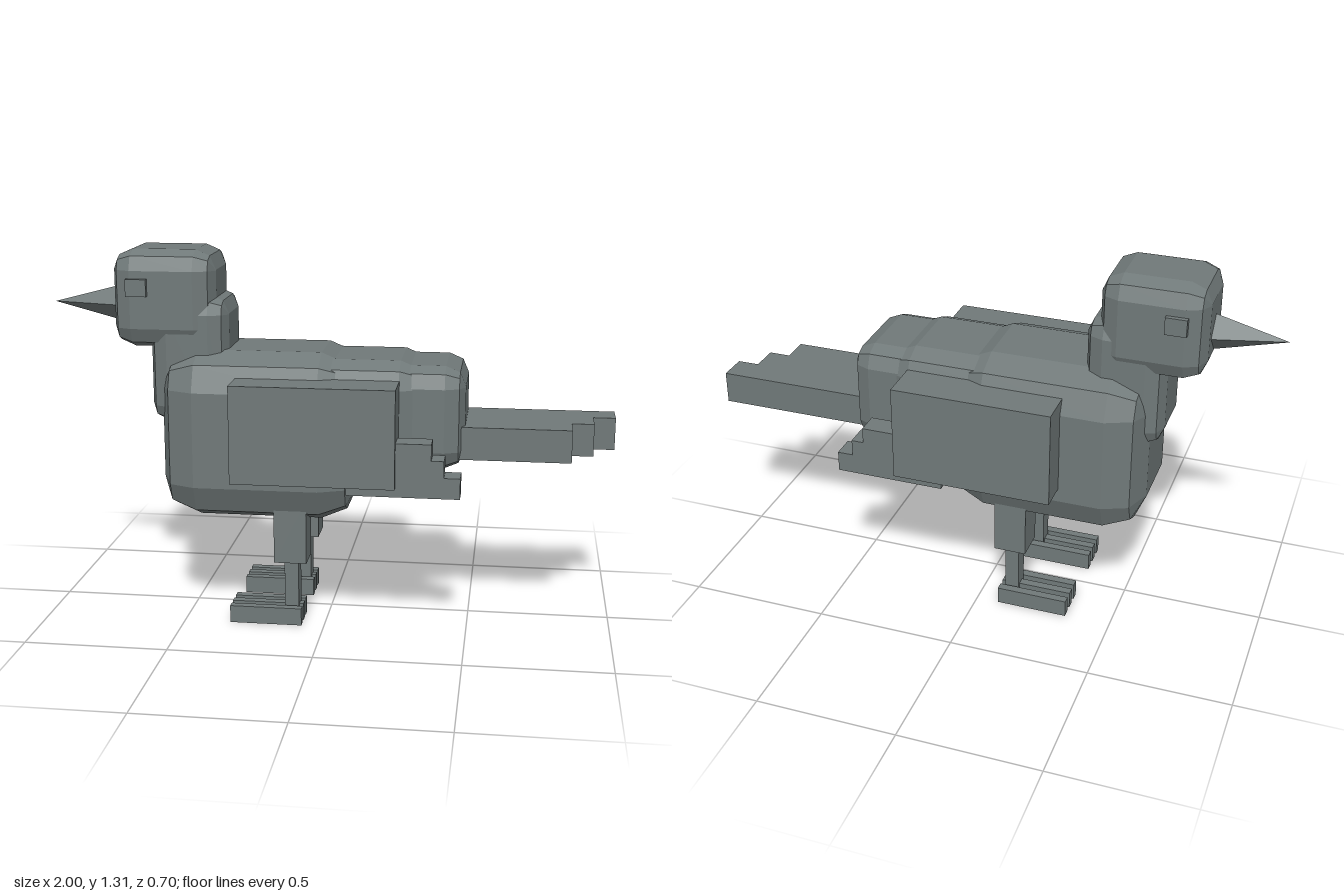
import * as THREE from 'three';

export function createModel() {
  const model = new THREE.Group();
  model.name = 'bird';
  const grey = new THREE.MeshStandardMaterial({ color: 0x707979, flatShading: true });
  grey.name = 'slate grey';

  const add = (name, geometry, parent = model) => {
    const mesh = new THREE.Mesh(geometry, grey);
    mesh.name = name;
    parent.add(mesh);
    return mesh;
  };

  // Plain box from its limits
  const box = (name, x0, x1, y0, y1, z0, z1, parent) => {
    const g = new THREE.BoxGeometry(x1 - x0, y1 - y0, Math.abs(z1 - z0));
    g.translate((x0 + x1) / 2, (y0 + y1) / 2, (z0 + z1) / 2);
    return add(name, g, parent);
  };

  // Twelve-sided cross-section with two-facet corners
  const ring = (x, y0, y1, w, b) => {
    const k = 0.3 * b, pts = [];
    const corner = [[0, b], [k, k], [b, 0]];
    const quads = [[1, 1], [-1, 1], [-1, -1], [1, -1]];
    quads.forEach(([sz, sy]) => {
      const c = sz * sy > 0 ? corner : [...corner].reverse();
      c.forEach(([dz, dy]) => pts.push([x, sy > 0 ? y1 - dy : y0 + dy, sz * (w - dz)]));
    });
    return pts;
  };

  // Block with two-facet bevels on every edge, lofted along x
  const bevelBlock = (name, x0, x1, y0, y1, w, b) => {
    const steps = [[0, 1, 0.05], [0.3, 0.3, 0.7], [1, 0, 1]];
    const make = (x, inset, bevel) => ring(x, y0 + inset * b, y1 - inset * b, w - inset * b, bevel * b);
    const rings = [
      ...steps.map(([d, i, v]) => make(x0 + d * b, i, v)),
      ...[...steps].reverse().map(([d, i, v]) => make(x1 - d * b, i, v)),
    ];
    const n = 12, last = rings.length - 1, index = [];
    const positions = rings.flat(2);
    positions.push(x0, (y0 + y1) / 2, 0, x1, (y0 + y1) / 2, 0);
    const startCentre = rings.length * n, endCentre = startCentre + 1;
    for (let j = 0; j < n; j++) {
      const k = (j + 1) % n;
      for (let i = 0; i < last; i++) {
        const a = i * n + j, d = i * n + k;
        index.push(a, a + n, d, d, a + n, d + n);
      }
      index.push(startCentre, j, k, endCentre, last * n + k, last * n + j);
    }
    const g = new THREE.BufferGeometry();
    g.setAttribute('position', new THREE.Float32BufferAttribute(positions, 3));
    g.setIndex(index);
    const flat = g.toNonIndexed();
    flat.computeVertexNormals();
    return add(name, flat);
  };

  // Body masses, stepping down towards the tail
  bevelBlock('breast', -0.585, 0.11, 0.37, 0.967, 0.245, 0.13);
  bevelBlock('back', -0.3, 0.345, 0.475, 0.947, 0.212, 0.09);
  bevelBlock('rump', -0.05, 0.48, 0.57, 0.932, 0.192, 0.07);
  bevelBlock('neck', -0.627, -0.35, 0.7, 1.155, 0.15, 0.065);
  bevelBlock('head', -0.755, -0.393, 0.97, 1.312, 0.157, 0.07);

  // Beak: four-sided spike pointing along -x
  const beak = new THREE.ConeGeometry(0.068, 0.26, 4);
  beak.rotateZ(Math.PI / 2);
  beak.translate(-0.87, 1.108, 0);
  add('beak', beak);

  // Tail feathers, stepped in length
  [[-0.155, -0.052, 1], [-0.052, 0.05, 0.922], [0.05, 0.152, 0.845]].forEach(([z0, z1, x1]) =>
    box('tailFeather', 0.4, x1, 0.61, 0.725, z0, z1));

  // Paired parts
  for (const s of [1, -1]) {
    const side = s > 0 ? 'left' : 'right';
    box(side + 'Eye', -0.695, -0.622, 1.155, 1.215, s * 0.14, s * 0.174);

    const wing = new THREE.Group();
    wing.name = side + 'Wing';
    model.add(wing);
    box('wingPanel', -0.305, 0.257, 0.55, 0.89, s * 0.2, s * 0.352, wing);
    [[0.475, 0.52, 0.592], [0.42, 0.592, 0.65], [0.377, 0.65, 0.706]].forEach(([x1, y0, y1]) =>
      box('wingFeather', 0.09, x1, y0, y1, s * 0.25, s * 0.332, wing));

    const leg = new THREE.Group();
    leg.name = side + 'Leg';
    model.add(leg);
    box('thigh', -0.178, -0.063, 0.227, 0.46, s * 0.092, s * 0.21, leg);
    box('shin', -0.145, -0.095, 0.03, 0.24, s * 0.12, s * 0.18, leg);
    for (const z of [0.099, 0.153, 0.207])
      box('toe', -0.336, -0.08, 0, 0.062, s * (z - 0.015), s * (z + 0.015), leg);
  }
  return model;
}
